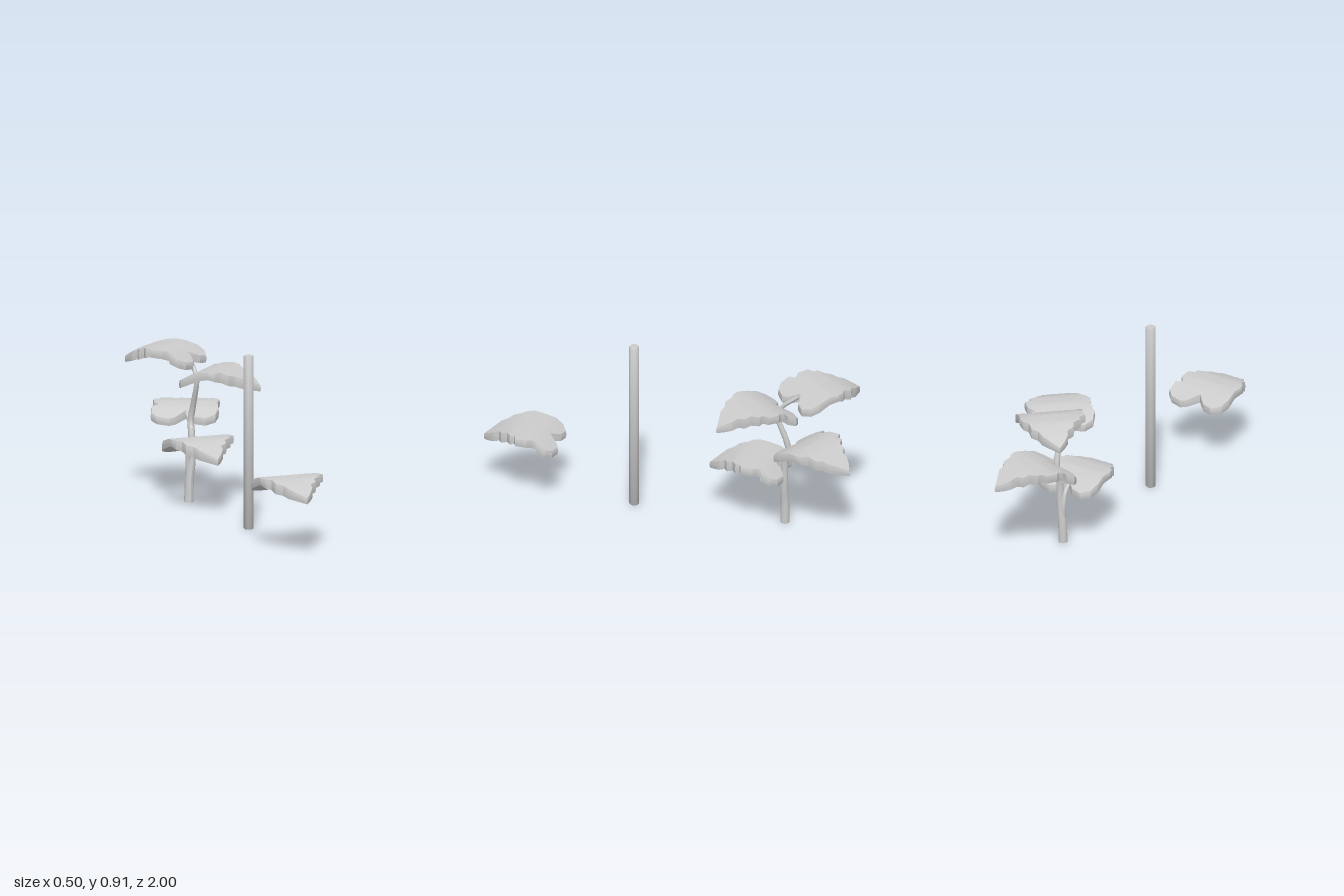
import * as THREE from 'three';
import { toCreasedNormals } from 'three/addons/utils/BufferGeometryUtils.js';

const material = new THREE.MeshStandardMaterial({ color: 0xcccccc });
const doubleSided = new THREE.MeshStandardMaterial({ color: 0xcccccc, side: THREE.DoubleSide });

// Lobed outline (x, z): stalk notch at the origin, tip towards +z
const OUTLINE = [
  [0, 0], [-0.05, -0.045], [-0.105, -0.057], [-0.155, -0.03], [-0.17, 0.015],
  [-0.163, 0.08], [-0.17, 0.13], [-0.157, 0.165], [-0.132, 0.185], [-0.127, 0.228],
  [-0.095, 0.25], [-0.08, 0.285], [-0.045, 0.315], [0, 0.355], [0.03, 0.325],
  [0.055, 0.29], [0.058, 0.26], [0.095, 0.238], [0.1, 0.206], [0.143, 0.18],
  [0.138, 0.158], [0.175, 0.143], [0.17, 0.08], [0.148, 0.058], [0.143, 0.032],
  [0.18, 0.032], [0.18, -0.018], [0.148, -0.048], [0.085, -0.062], [0.053, -0.05],
];

// Arched height profiles (z, y), measured down from the crest
const TOP = [[-0.065, -0.07], [0.03, -0.018], [0.1, 0], [0.19, -0.003], [0.28, -0.034], [0.355, -0.08]];
const BOTTOM = [[-0.065, -0.107], [0.115, -0.033], [0.355, -0.112]];

function heightAt(profile, z) {
  let i = 1;
  while (i < profile.length - 1 && z > profile[i][0]) i++;
  const [z0, y0] = profile[i - 1], [z1, y1] = profile[i];
  return y0 + (y1 - y0) * (z - z0) / (z1 - z0);
}

// Rings run from the middle of the top, over the rim, to the middle underneath
function leafGeometry() {
  const centre = 0.11, n = OUTLINE.length, positions = [], index = [];
  const rows = [];
  for (let i = 0; i <= 7; i++) rows.push([0.985 * i / 7, 0]);
  rows.push([1, 0.3], [1, 0.65]);
  for (let i = 7; i >= 0; i--) rows.push([0.985 * i / 7, 1]);
  for (const [s, depth] of rows) {
    for (const [x, z] of OUTLINE) {
      const pz = centre + (z - centre) * s;
      const top = heightAt(TOP, pz);
      positions.push(x * s, top + (heightAt(BOTTOM, pz) - top) * depth, pz);
    }
  }
  for (let r = 0; r < rows.length - 1; r++) {
    for (let j = 0; j < n; j++) {
      const k = (j + 1) % n;
      const a = r * n + j, b = a + n, c = (r + 1) * n + k, d = r * n + k;
      if (r < rows.length - 2) index.push(a, b, c);
      if (r > 0) index.push(a, c, d);
    }
  }
  const geometry = new THREE.BufferGeometry();
  geometry.setAttribute('position', new THREE.Float32BufferAttribute(positions, 3));
  geometry.setIndex(index);
  return toCreasedNormals(geometry, 0.5);
}

// Tube along a smooth path, tapering from r0 to r1
function stalk(name, points, r0, r1, segments = 12) {
  const curve = new THREE.CatmullRomCurve3(points.map(p => new THREE.Vector3(...p)));
  const sides = 10;
  const geometry = new THREE.TubeGeometry(curve, segments, 1, sides);
  const pos = geometry.attributes.position, v = new THREE.Vector3();
  for (let i = 0; i < pos.count; i++) {
    const t = Math.floor(i / (sides + 1)) / segments;
    const p = curve.getPointAt(t);
    v.fromBufferAttribute(pos, i).sub(p).multiplyScalar(r0 + (r1 - r0) * t).add(p);
    pos.setXYZ(i, v.x, v.y, v.z);
  }
  geometry.computeVertexNormals();
  const mesh = new THREE.Mesh(geometry, doubleSided);
  mesh.name = name;
  return mesh;
}

export function createModel() {
  const model = new THREE.Group();
  model.name = 'plantWithPost';

  // Free-standing post with softly rounded ends
  const profile = [[0, 0], [0.022, 0], [0.026, 0.006], [0.026, 0.905], [0.023, 0.91], [0, 0.91]];
  const post = new THREE.Mesh(
    toCreasedNormals(new THREE.LatheGeometry(profile.map(p => new THREE.Vector2(...p)), 16), 0.7), material);
  post.name = 'post';
  post.position.set(-0.026, 0, 0.197);
  model.add(post);

  // Leaves: stalk notch x, z, crest height and turn in degrees
  const geometry = leafGeometry();
  const leaves = [
    ['looseLeaf', -0.03, 0.645, 0.38, 0],
    ['lowerFrontLeaf', -0.03, -0.558, 0.37, 0],
    ['lowerBackLeaf', -0.015, -0.675, 0.5, 155],
    ['upperFrontLeaf', 0.003, -0.565, 0.72, 45],
    ['upperBackLeaf', 0.01, -0.7, 0.8, -135],
  ];
  for (const [name, x, z, y, turn] of leaves) {
    const leaf = new THREE.Mesh(geometry, material);
    leaf.name = name;
    leaf.position.set(x, y, z);
    leaf.rotation.y = THREE.MathUtils.degToRad(turn);
    model.add(leaf);
  }

  // Main stem, its base cap and the leaf stalks
  model.add(
    stalk('stem', [[-0.026, 0, -0.607], [-0.022, 0.12, -0.608], [-0.01, 0.22, -0.607], [-0.008, 0.35, -0.613],
      [-0.005, 0.42, -0.632], [0, 0.48, -0.622], [0.002, 0.62, -0.57], [0.004, 0.67, -0.565]], 0.025, 0.012, 30),
    stalk('lowerFrontStalk', [[-0.022, 0.11, -0.607], [-0.03, 0.22, -0.607], [-0.03, 0.28, -0.59], [-0.03, 0.32, -0.55]], 0.018, 0.011),
    stalk('lowerBackStalk', [[-0.008, 0.38, -0.615], [-0.01, 0.43, -0.645], [-0.01, 0.455, -0.68]], 0.015, 0.011),
    stalk('upperBackStalk', [[0.002, 0.61, -0.575], [0.006, 0.67, -0.595], [0.01, 0.75, -0.69]], 0.012, 0.011),
  );
  const cap = new THREE.Mesh(new THREE.CircleGeometry(0.025, 10), doubleSided);
  cap.name = 'stemBase';
  cap.rotation.x = Math.PI / 2;
  cap.position.set(-0.026, 0.001, -0.607);
  model.add(cap);

  return model;
}
